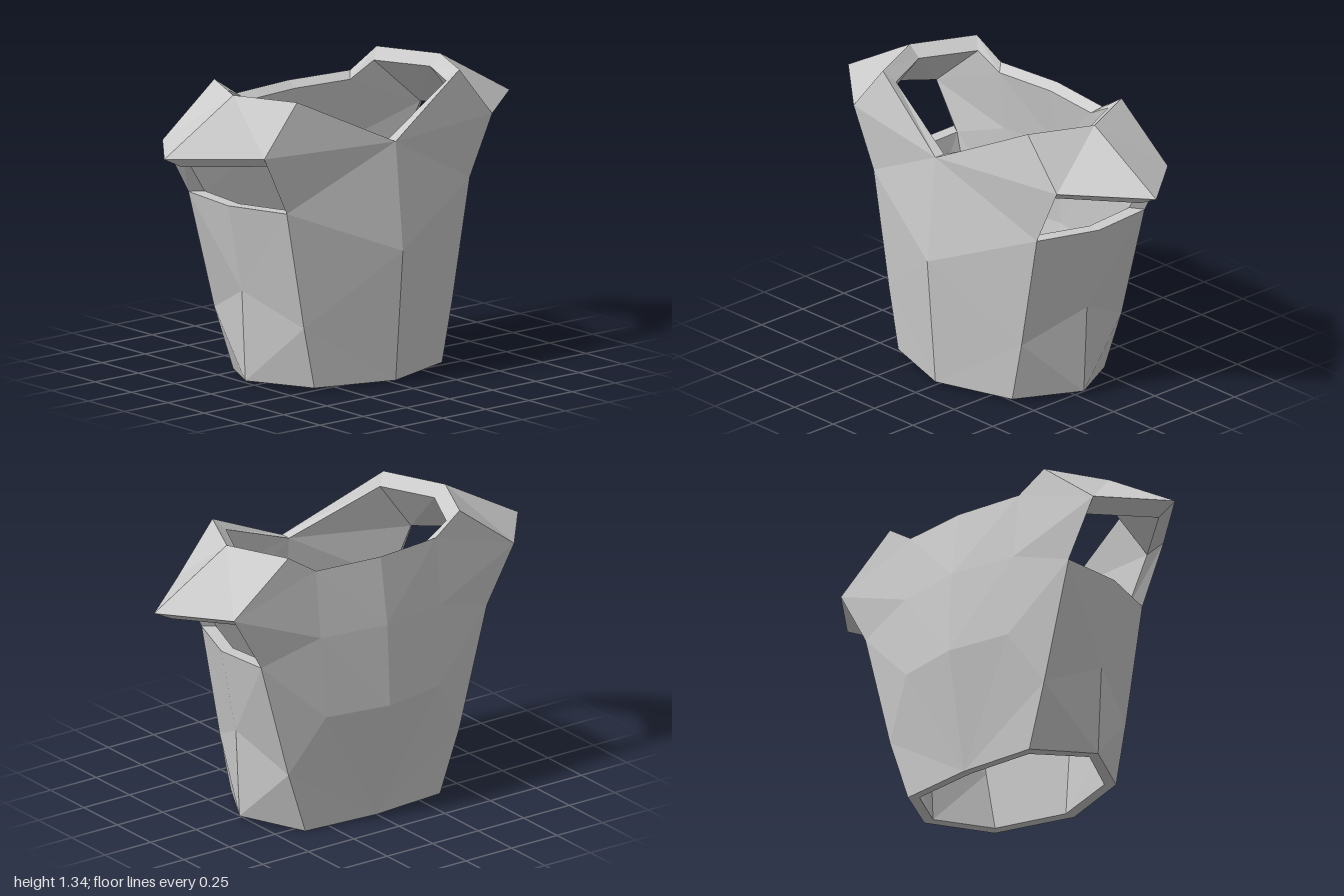
import * as THREE from 'three';

// Corner points of the left half of the vest (the right half is mirrored)
const P = {
  // front centre line, bottom to neck
  c0: [0, 0.02, 0.38], c1: [0, 0.62, 0.43], c2: [0, 1.11, 0.38],
  // front side edge, up to the shoulder
  f0: [0.37, 0.02, 0.26], f1: [0.43, 0.3, 0.26], f2: [0.53, 0.84, 0.26], f3: [0.66, 1.11, 0.26], f4: [0.47, 1.34, 0.26],
  // flank, shoulder tip and shoulder top
  s0: [0.53, 0.025, -0.025], s1: [0.55, 0.44, -0.025], s2: [0.63, 0.84, -0.025], t: [1, 1.11, -0.025], st: [0.6, 1.34, -0.025],
  // back side edge, up to the shoulder
  b0: [0.37, 0.005, -0.3], b1: [0.47, 0.3, -0.31], b2: [0.62, 0.85, -0.31], b3: [0.77, 1.11, -0.31], b4: [0.47, 1.34, -0.31],
  // shoulder blade line and spine
  m1: [0.31, 0.56, -0.375], m2: [0.33, 0.94, -0.36], m3: [0.33, 1.25, -0.325],
  k0: [0, 0.005, -0.33], k1: [0, 0.56, -0.43], k2: [0, 0.94, -0.41], k3: [0, 1.25, -0.36],
};

// Facets of each panel, counter-clockwise from outside
const PANELS = {
  frontPanel: 'c0 f0 f1,c0 f1 c1,c1 f1 f2,c1 f2 c2,c2 f2 f3,c2 f3 f4',
  sidePanel: 'f0 s0 f1,f1 s0 s1,f1 s1 f2,f2 s1 s2,s0 b0 b1,s0 b1 s1,s1 b1 b2,s1 b2 s2',
  shoulderPad: 'f3 t st,f3 st f4,t b3 st,b3 b4 st',
  backPanel: 'b0 k0 b1,b1 k0 m1,k0 k1 m1,b1 m1 b2,b2 m1 m2,m1 k1 m2,k1 k2 m2,' +
    'b2 m2 b3,b3 m2 m3,b3 m3 b4,m2 k2 m3,k2 k3 m3',
};

// Lining point: pulled in towards the vertical axis, lower under the shoulders
const SHOULDER = ['f3', 'f4', 't', 'st', 'b3', 'b4'];
function inner(name) {
  const [x, y, z] = P[name];
  const drop = SHOULDER.includes(name) ? 0.05 : name === 'm3' || name === 'k3' ? 0.03 : 0;
  return [x * 0.9, y - drop, -0.025 + (z + 0.025) * 0.87];
}

const material = new THREE.MeshStandardMaterial({ color: 0xcccccc, flatShading: true });

// Mesh from triangles of points, optionally mirrored across x
function triMesh(name, tris, mirror) {
  const pos = [];
  for (const tri of tris) {
    const order = mirror ? [tri[0], tri[2], tri[1]] : tri;
    for (const [x, y, z] of order) pos.push(mirror ? -x : x, y, z);
  }
  const geo = new THREE.BufferGeometry();
  geo.setAttribute('position', new THREE.Float32BufferAttribute(pos, 3));
  geo.computeVertexNormals();
  const mesh = new THREE.Mesh(geo, material);
  mesh.name = name;
  return mesh;
}

export function createModel() {
  const group = new THREE.Group();
  group.name = 'vest';
  const parts = {};
  const edges = new Map();

  // Outer shell and lining of every panel
  for (const [name, text] of Object.entries(PANELS)) {
    parts[name] = [];
    for (const face of text.split(',')) {
      const n = face.split(' ');
      parts[name].push(n.map((v) => P[v]), [n[0], n[2], n[1]].map(inner));
      n.forEach((a, i) => edges.set(a + ' ' + n[(i + 1) % 3], [a, n[(i + 1) % 3]]));
    }
  }

  // Rim joining shell and lining round the neck, arm holes and hem
  parts.rim = [];
  for (const [a, b] of edges.values()) {
    const onCentreLine = P[a][0] === 0 && P[b][0] === 0;
    if (onCentreLine || edges.has(b + ' ' + a)) continue;
    parts.rim.push([P[b], P[a], inner(a)], [P[b], inner(a), inner(b)]);
  }

  for (const [name, tris] of Object.entries(parts)) {
    group.add(triMesh(name + 'Left', tris, false), triMesh(name + 'Right', tris, true));
  }
  return group;
}
